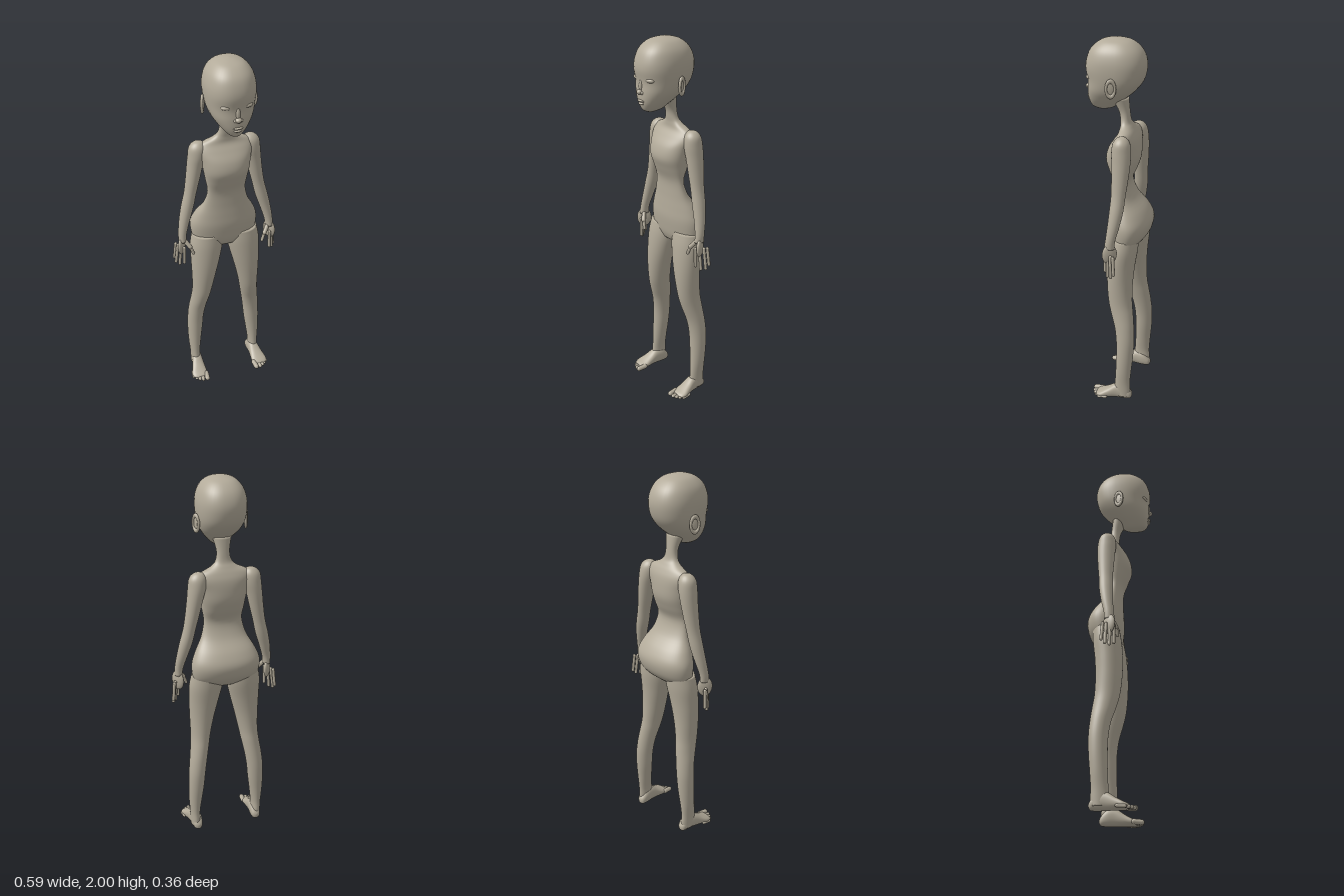
import * as THREE from 'three';

const skin = new THREE.MeshStandardMaterial({ color: 0xb3ab9a });
skin.name = 'warm grey clay';

// Smooth loft through sections [y, x, halfWidth, frontZ, backZ], listed upwards.
// power > 2 squares the sections off, side mirrors the x centres.
function loft(sections, { side = 1, power = 2, seg = 32, steps = 5 } = {}) {
  const rings = [];
  const n = sections.length;
  for (let i = 0; i < n - 1; i++) {
    const [p, a, b, q] = [i - 1, i, i + 1, i + 2].map(k => sections[Math.min(n - 1, Math.max(0, k))]);
    for (let s = 0; s < steps; s++) {
      const t = s / steps;
      rings.push(a.map((v, k) => 0.5 * (2 * v + (b[k] - p[k]) * t
        + (2 * p[k] - 5 * v + 4 * b[k] - q[k]) * t * t
        + (3 * v - p[k] - 3 * b[k] + q[k]) * t * t * t)));
    }
  }
  rings.push(sections[n - 1]);
  const pos = [], idx = [];
  const bend = v => Math.sign(v) * Math.abs(v) ** (2 / power);
  for (const [y, x, w, front, back] of rings) {
    for (let j = 0; j < seg; j++) {
      const a = (j / seg) * Math.PI * 2;
      pos.push(side * x + Math.max(w, 0.001) * bend(Math.cos(a)), y,
        (front + back) / 2 + (front - back) / 2 * bend(Math.sin(a)));
    }
  }
  for (let i = 0; i < rings.length - 1; i++) {
    for (let j = 0; j < seg; j++) {
      const k = (j + 1) % seg, a = i * seg, b = a + seg;
      idx.push(a + j, b + j, a + k, b + j, b + k, a + k);
    }
  }
  // end caps
  [0, rings.length - 1].forEach((r, end) => {
    const c = pos.length / 3, [y, x, , f, b] = rings[r];
    pos.push(side * x, y, (f + b) / 2);
    for (let j = 0; j < seg; j++) {
      const a = r * seg + j, k = r * seg + (j + 1) % seg;
      if (end) idx.push(c, k, a); else idx.push(c, a, k);
    }
  });
  const g = new THREE.BufferGeometry();
  g.setAttribute('position', new THREE.Float32BufferAttribute(pos, 3));
  g.setIndex(idx);
  g.computeVertexNormals();
  return g;
}

function add(parent, name, geometry) {
  const m = new THREE.Mesh(geometry, skin);
  m.name = name;
  parent.add(m);
  return m;
}

function ball(parent, name, position, scale) {
  const m = add(parent, name, new THREE.SphereGeometry(1, 20, 14));
  m.position.set(...position);
  m.scale.set(...scale);
  return m;
}

// Rounded digit between two points
function digit(parent, name, from, to, r) {
  const a = new THREE.Vector3(...from), b = new THREE.Vector3(...to);
  const d = b.clone().sub(a);
  const m = add(parent, name, new THREE.CapsuleGeometry(r, d.length(), 5, 12));
  m.position.copy(a).add(b).multiplyScalar(0.5);
  m.quaternion.setFromUnitVectors(new THREE.Vector3(0, 1, 0), d.normalize());
}

function buildHead() {
  const head = new THREE.Group();
  head.name = 'head';
  add(head, 'skull', loft([
    [1.632, 0, 0.012, 0.115, 0.07], [1.645, 0, 0.034, 0.143, 0.03], [1.67, 0, 0.058, 0.156, 0],
    [1.70, 0, 0.082, 0.162, -0.04], [1.74, 0, 0.106, 0.163, -0.085], [1.79, 0, 0.12, 0.161, -0.122],
    [1.85, 0, 0.126, 0.171, -0.138], [1.90, 0, 0.122, 0.164, -0.134], [1.945, 0, 0.106, 0.143, -0.112],
    [1.98, 0, 0.074, 0.102, -0.072], [1.995, 0, 0.036, 0.058, -0.028], [2.0, 0, 0.001, 0.016, 0.014],
  ], { power: 2.3, seg: 40 }));
  ball(head, 'noseBridge', [0, 1.77, 0.157], [0.012, 0.036, 0.012]);
  ball(head, 'noseTip', [0, 1.742, 0.166], [0.016, 0.013, 0.016]);
  ball(head, 'upperLip', [0, 1.696, 0.158], [0.026, 0.007, 0.013]);
  ball(head, 'lowerLip', [0, 1.682, 0.156], [0.021, 0.008, 0.012]);
  for (const s of [1, -1]) {
    ball(head, 'nostril', [s * 0.014, 1.738, 0.159], [0.01, 0.009, 0.011]);
    ball(head, 'eye', [s * 0.056, 1.805, 0.142], [0.026, 0.012, 0.016]).rotation.y = s * 0.3;
    const ear = new THREE.Group();
    ear.name = 'ear';
    const rim = add(ear, 'earRim', new THREE.TorusGeometry(0.026, 0.008, 8, 24));
    rim.scale.set(0.85, 1.5, 1);
    ball(ear, 'earBowl', [0, 0, -s * 0.004], [0.024, 0.038, 0.007]);
    ear.position.set(s * 0.13, 1.772, 0.004);
    ear.rotation.set(0, Math.PI / 2 + s * 0.4, 0);
    head.add(ear);
  }
  return head;
}

function buildArm(s) {
  const arm = new THREE.Group();
  arm.name = s > 0 ? 'leftArm' : 'rightArm';
  add(arm, 'armSleeve', loft([
    [0.965, 0.246, 0.02, 0.0, -0.055], [1.01, 0.243, 0.023, -0.006, -0.058], [1.08, 0.228, 0.029, -0.012, -0.074],
    [1.16, 0.207, 0.034, -0.016, -0.088], [1.24, 0.188, 0.033, -0.019, -0.094], [1.32, 0.172, 0.037, -0.016, -0.102],
    [1.40, 0.158, 0.042, -0.012, -0.108], [1.46, 0.147, 0.047, -0.008, -0.108], [1.505, 0.142, 0.045, -0.014, -0.1],
    [1.53, 0.139, 0.027, -0.032, -0.082], [1.538, 0.137, 0.004, -0.052, -0.062],
  ], { side: s, seg: 24 }));
  // palm turned diagonally to the body
  const palm = ball(arm, 'palm', [s * 0.25, 0.935, -0.03], [0.016, 0.055, 0.04]);
  palm.rotation.y = s * 0.6;
  [[0.277, -0.064, 0.285, 0.838], [0.268, -0.046, 0.281, 0.819],
    [0.256, -0.025, 0.266, 0.817], [0.243, -0.005, 0.245, 0.833]].forEach(([x, z, tip, y]) =>
    digit(arm, 'finger', [s * x, 0.93, z * 0.9], [s * tip, y, z], 0.0085));
  digit(arm, 'thumbBase', [s * 0.238, 0.972, -0.02], [s * 0.212, 0.935, 0.002], 0.012);
  digit(arm, 'thumbTip', [s * 0.212, 0.935, 0.002], [s * 0.196, 0.893, 0.008], 0.0085);
  return arm;
}

function buildLeg(s) {
  const leg = new THREE.Group();
  leg.name = s > 0 ? 'leftLeg' : 'rightLeg';
  add(leg, 'legColumn', loft([
    [0.02, 0.18, 0.026, -0.04, -0.122], [0.06, 0.18, 0.027, -0.032, -0.124], [0.11, 0.181, 0.028, -0.036, -0.122],
    [0.19, 0.179, 0.036, -0.04, -0.128], [0.28, 0.174, 0.043, -0.042, -0.136], [0.37, 0.168, 0.046, -0.04, -0.139],
    [0.45, 0.158, 0.048, -0.028, -0.134], [0.53, 0.145, 0.05, -0.003, -0.125], [0.60, 0.136, 0.054, 0.014, -0.116],
    [0.70, 0.126, 0.066, 0.024, -0.114], [0.80, 0.115, 0.08, 0.025, -0.12], [0.90, 0.104, 0.091, 0.018, -0.132],
    [0.97, 0.098, 0.085, 0.006, -0.135],
  ], { side: s }));
  // foot is lofted heel to toe, then laid forward
  const foot = loft([
    [-0.132, 0.173, 0.006, -0.018, -0.034], [-0.122, 0.173, 0.022, -0.004, -0.052], [-0.09, 0.174, 0.03, 0, -0.085],
    [-0.045, 0.178, 0.032, 0, -0.088], [0, 0.183, 0.039, 0, -0.06], [0.035, 0.187, 0.045, 0, -0.04],
    [0.06, 0.185, 0.04, -0.004, -0.028], [0.07, 0.18, 0.025, -0.009, -0.021],
  ], { side: s, power: 2.3 });
  foot.rotateX(Math.PI / 2);
  add(leg, 'foot', foot);
  [[0.154, 0.088, 0.014], [0.179, 0.087, 0.01], [0.197, 0.078, 0.0095],
    [0.213, 0.065, 0.009], [0.227, 0.048, 0.0085]].forEach(([x, z, r]) =>
    digit(leg, 'toe', [s * (x - 0.004), r + 0.004, z - 0.04], [s * x, r, z], r));
  return leg;
}

export function createModel() {
  const figure = new THREE.Group();
  figure.name = 'mannequin';
  // plain torso form running up into the neck
  add(figure, 'torso', loft([
    [0.90, 0, 0.1, -0.01, -0.1], [0.935, 0, 0.165, 0.004, -0.138], [0.98, 0, 0.182, 0.012, -0.166],
    [1.04, 0, 0.183, 0.018, -0.174], [1.10, 0, 0.16, 0.016, -0.145], [1.17, 0, 0.122, 0.013, -0.088],
    [1.25, 0, 0.103, 0.016, -0.062], [1.32, 0, 0.112, 0.042, -0.088], [1.38, 0, 0.122, 0.062, -0.108],
    [1.44, 0, 0.132, 0.05, -0.11], [1.49, 0, 0.145, 0.018, -0.104], [1.525, 0, 0.128, -0.006, -0.09],
    [1.553, 0, 0.07, -0.01, -0.074], [1.58, 0, 0.042, -0.008, -0.06], [1.63, 0, 0.034, 0.002, -0.053],
    [1.70, 0, 0.05, 0.04, -0.045],
  ], { power: 2.2, seg: 48 }));
  figure.add(buildHead());
  for (const s of [1, -1]) figure.add(buildArm(s), buildLeg(s));
  return figure;
}
